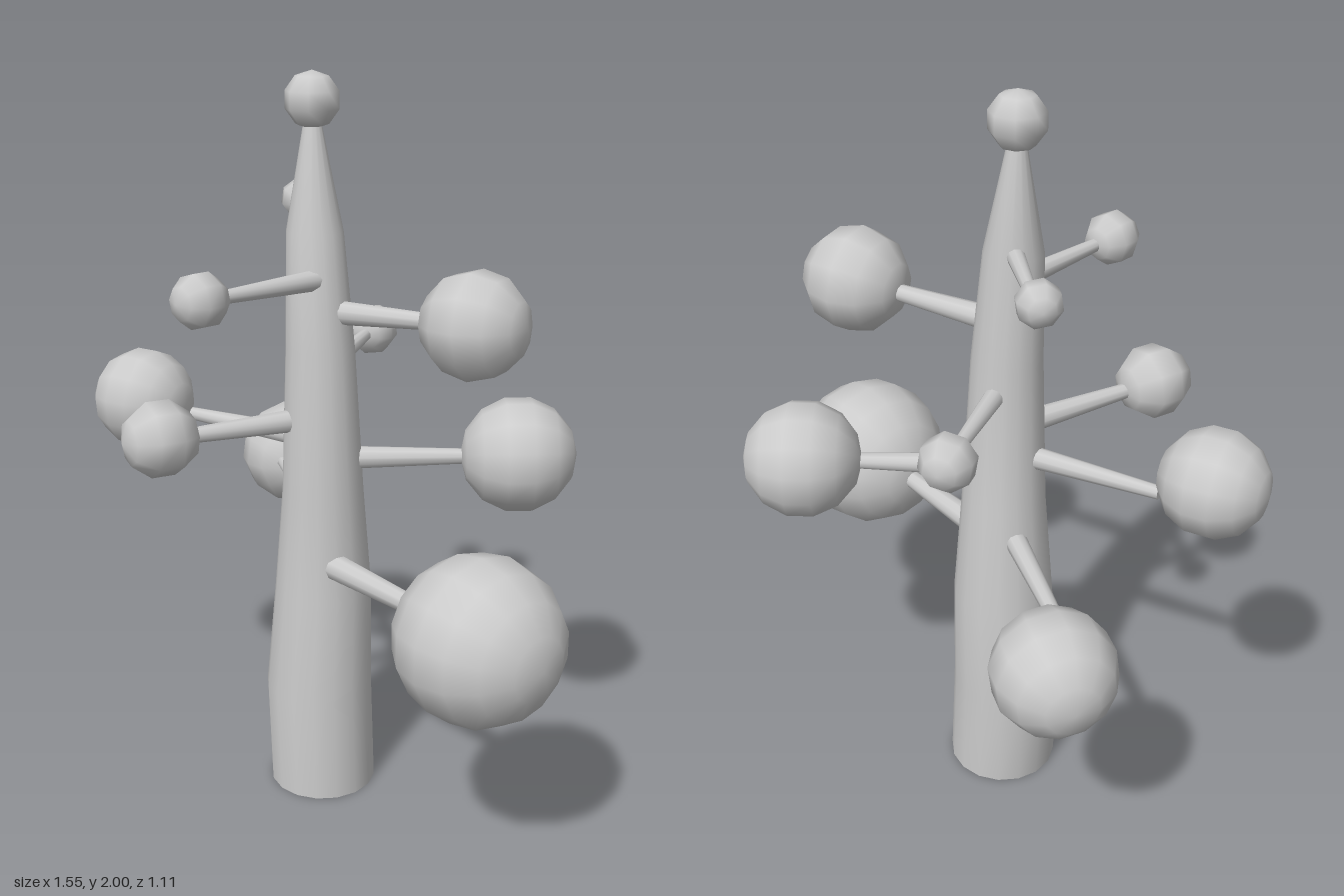
import * as THREE from 'three';
import { mergeVertices } from 'three/addons/utils/BufferGeometryUtils.js';

const material = new THREE.MeshStandardMaterial({ color: 0xcccccc });
const openMaterial = new THREE.MeshStandardMaterial({ color: 0xcccccc, side: THREE.DoubleSide });

// Trunk rings from the ground up: height, centre x, centre z, radius
const rings = [
  [0, -0.098, 0.002, 0.15],
  [0.3, -0.111, 0.004, 0.15],
  [0.6, -0.105, -0.008, 0.135],
  [0.9, -0.094, 0, 0.111],
  [1.3, -0.09, 0.01, 0.092],
  [1.6, -0.117, 0.004, 0.075],
  [1.9, -0.13, 0, 0.018],
];

// Each limb: branch start, branch tip, branch base radius, ball centre, ball radius
const limbs = [
  [[-0.02, 0.7, 0.03], [0.5, 0.705, 0.03], 0.038, [0.56, 0.705, 0.03], 0.217],
  [[-0.1, 0.815, 0], [-0.53, 0.805, -0.185], 0.033, [-0.62, 0.79, -0.29], 0.157],
  [[-0.09, 0.985, 0], [0.2, 0.995, -0.34], 0.034, [0.25, 1.0, -0.4], 0.157],
  [[-0.09, 1.035, 0], [-0.5, 1.04, 0.16], 0.032, [-0.595, 1.08, 0.25], 0.142],
  [[-0.1, 1.1, 0], [-0.175, 1.11, 0.42], 0.034, [-0.18, 1.115, 0.455], 0.103],
  [[-0.09, 1.228, 0], [-0.29, 1.24, -0.325], 0.029, [-0.305, 1.24, -0.35], 0.073],
  [[-0.09, 1.395, 0.01], [0.28, 1.41, -0.135], 0.034, [0.325, 1.415, -0.15], 0.141],
  [[-0.065, 1.485, 0.03], [-0.035, 1.493, 0.39], 0.029, [-0.035, 1.495, 0.415], 0.073],
  [[-0.115, 1.612, 0], [-0.385, 1.62, -0.165], 0.025, [-0.405, 1.625, -0.17], 0.057],
];

const UP = new THREE.Vector3(0, 1, 0);

// Open tube whose rings are shifted and scaled to follow the leaning trunk
function makeTrunk() {
  const count = rings.length - 1;
  let geo = new THREE.CylinderGeometry(1, 1, count, 16, count, true);
  const pos = geo.attributes.position;
  for (let i = 0; i < pos.count; i++) {
    const [y, cx, cz, r] = rings[Math.round(pos.getY(i) + count / 2)];
    pos.setXYZ(i, cx + pos.getX(i) * r, y, cz + pos.getZ(i) * r);
  }
  geo.deleteAttribute('uv');
  geo.deleteAttribute('normal');
  geo = mergeVertices(geo);
  geo.computeVertexNormals();
  const mesh = new THREE.Mesh(geo, openMaterial);
  mesh.name = 'trunk';
  return mesh;
}

// Smooth low-poly ball, finer when larger, with its poles along the given direction
function makeBall(centre, radius, direction, name) {
  const sides = radius > 0.2 ? 14 : radius > 0.1415 ? 12 : radius > 0.12 ? 10 : 8;
  const mesh = new THREE.Mesh(new THREE.SphereGeometry(radius, sides, sides / 2 + 1), material);
  mesh.position.set(...centre);
  mesh.quaternion.setFromUnitVectors(UP, direction);
  mesh.name = name;
  return mesh;
}

// Tapered branch from the trunk into a ball
function makeLimb([from, to, thickness, centre, radius], index) {
  const group = new THREE.Group();
  group.name = `limb${index + 1}`;
  const start = new THREE.Vector3(...from);
  const tip = new THREE.Vector3(...to);
  const direction = tip.clone().sub(start);
  const length = direction.length();
  direction.normalize();
  const branch = new THREE.Mesh(
    new THREE.CylinderGeometry(thickness * 0.55, thickness, length, 10), material);
  branch.position.copy(start).lerp(tip, 0.5);
  branch.quaternion.setFromUnitVectors(UP, direction);
  branch.name = 'branch';
  group.add(branch, makeBall(centre, radius, direction, 'foliageBall'));
  return group;
}

export function createModel() {
  const model = new THREE.Group();
  model.name = 'tree';
  model.add(makeTrunk());
  limbs.forEach((limb, i) => model.add(makeLimb(limb, i)));
  model.add(makeBall([-0.13, 1.927, 0], 0.073, UP, 'topBall'));
  return model;
}
